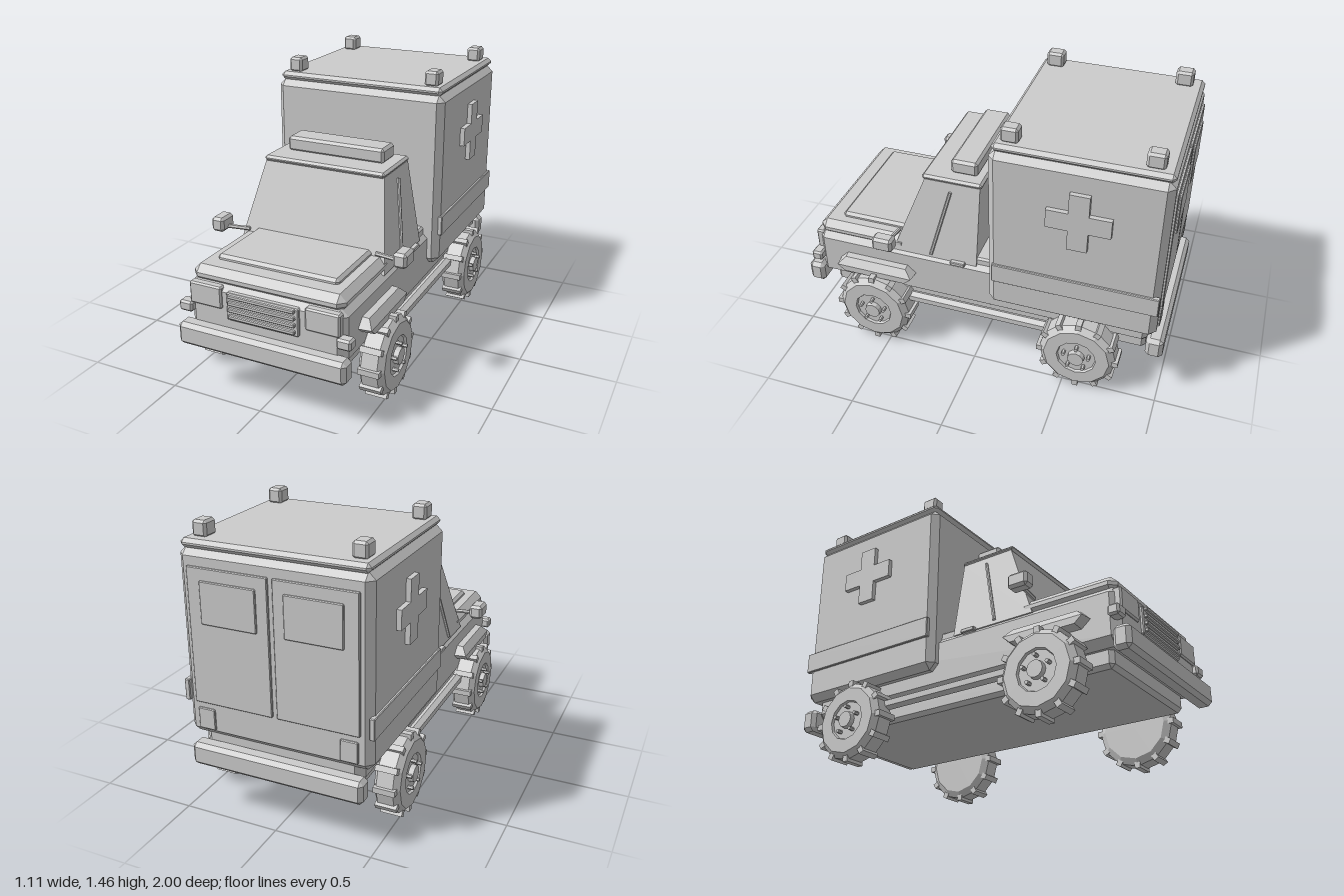
import * as THREE from 'three';
import { ConvexGeometry } from 'three/addons/geometries/ConvexGeometry.js';

export function createModel() {
  const root = new THREE.Group();
  root.name = 'ambulance';
  const grey = new THREE.MeshStandardMaterial({ color: 0xcccccc, flatShading: true });
  grey.name = 'light grey';

  const add = (name, geometry, parent = root) => {
    const mesh = new THREE.Mesh(geometry, grey);
    mesh.name = name;
    parent.add(mesh);
    return mesh;
  };

  // Box given by its limits, with every edge chamfered by c
  const block = (name, [x0, x1], [y0, y1], [z0, z1], c = 0, parent = root) => {
    const w = x1 - x0, h = y1 - y0, d = z1 - z0;
    let geometry;
    if (c === 0) geometry = new THREE.BoxGeometry(w, h, d);
    else {
      const pts = [];
      for (const i of [-1, 1]) for (const j of [-1, 1]) for (const k of [-1, 1]) {
        const x = i * w / 2, y = j * h / 2, z = k * d / 2;
        pts.push(
          new THREE.Vector3(x, y - j * c, z - k * c),
          new THREE.Vector3(x - i * c, y, z - k * c),
          new THREE.Vector3(x - i * c, y - j * c, z));
      }
      geometry = new ConvexGeometry(pts);
    }
    const mesh = add(name, geometry, parent);
    mesh.position.set((x0 + x1) / 2, (y0 + y1) / 2, (z0 + z1) / 2);
    return mesh;
  };
  const mid = (name, half, y, z, c) => block(name, [-half, half], y, z, c);
  const pair = (name, [a, b], y, z, c) => {
    block(name + 'Left', [a, b], y, z, c);
    block(name + 'Right', [-b, -a], y, z, c);
  };
  // Straight round bar between two points
  const bar = (name, a, b, r, sides = 6) => {
    const from = new THREE.Vector3(...a), to = new THREE.Vector3(...b);
    const dir = to.clone().sub(from);
    const mesh = add(name, new THREE.CylinderGeometry(r, r, dir.length(), sides));
    mesh.position.copy(from).add(to).multiplyScalar(0.5);
    mesh.quaternion.setFromUnitVectors(new THREE.Vector3(0, 1, 0), dir.normalize());
  };

  // Chassis and lower body
  mid('chassis', 0.37, [0.22, 0.33], [-0.9, 0.87], 0.02);
  mid('lowerBody', 0.425, [0.305, 0.6], [-0.925, 0.935], 0.04);
  mid('rearDeck', 0.4, [0.57, 0.625], [-0.1, 0.02], 0.01);
  mid('hood', 0.41, [0.57, 0.66], [0.4, 0.92], 0.035);
  mid('hoodPanel', 0.33, [0.64, 0.685], [0.43, 0.81], 0.015);
  mid('frontBumper', 0.455, [0.255, 0.375], [0.91, 1], 0.02);
  mid('rearBumper', 0.455, [0.255, 0.375], [-1, -0.91], 0.02);

  // Tapered cab
  const cab = [];
  for (const s of [-1, 1]) cab.push(
    new THREE.Vector3(s * 0.415, 0.58, 0.48), new THREE.Vector3(s * 0.415, 0.58, 0.01),
    new THREE.Vector3(s * 0.335, 1.02, 0.31), new THREE.Vector3(s * 0.335, 1.02, 0.01));
  add('cab', new ConvexGeometry(cab));
  mid('cabRoof', 0.34, [1.015, 1.045], [0, 0.325], 0.012);
  mid('lightBar', 0.275, [1.04, 1.12], [0.045, 0.19], 0.014);

  // Rear compartment
  mid('compartment', 0.485, [0.41, 1.35], [-0.955, -0.075], 0.035);
  mid('compartmentRoof', 0.47, [1.345, 1.39], [-0.95, -0.09], 0.018);
  pair('sideBand', [0.47, 0.497], [0.58, 0.69], [-0.955, -0.1], 0.004);
  for (const x of [-0.397, 0.397]) for (const z of [-0.85, -0.17])
    block('roofBeacon', [x - 0.038, x + 0.038], [1.385, 1.465], [z - 0.045, z + 0.045], 0.012);

  // Side crosses
  const a = 0.05, b = 0.16;
  const cross = new THREE.Shape([
    [a, b], [-a, b], [-a, a], [-b, a], [-b, -a], [-a, -a],
    [-a, -b], [a, -b], [a, -a], [b, -a], [b, a], [a, a],
  ].map(p => new THREE.Vector2(...p)));
  for (const s of [-1, 1]) {
    const mesh = add('sideCross', new THREE.ExtrudeGeometry(cross, { depth: 0.03, bevelEnabled: false }));
    mesh.rotation.y = s * Math.PI / 2;
    mesh.position.set(s * 0.48, 1.06, -0.535);
  }

  // Rear doors, windows and lamps
  pair('rearDoor', [0.012, 0.43], [0.59, 1.27], [-0.967, -0.94], 0.004);
  pair('rearWindow', [0.07, 0.36], [1.0, 1.21], [-0.977, -0.95], 0.004);
  pair('tailLamp', [0.33, 0.42], [0.45, 0.56], [-0.965, -0.94], 0.004);

  // Front lamps and grille
  pair('headlamp', [0.225, 0.405], [0.47, 0.585], [0.9, 0.947], 0.008);
  pair('turnSignal', [0.39, 0.465], [0.42, 0.475], [0.9, 0.96], 0.01);
  mid('grille', 0.195, [0.425, 0.57], [0.91, 0.95], 0.006);
  for (let i = 0; i < 4; i++) {
    const y = 0.44 + i * 0.036;
    mid('grilleBar', 0.18, [y, y + 0.02], [0.94, 0.965], 0.004);
  }

  // Cab sides: mirrors, fender flares, handles, window bars, side steps
  pair('mirror', [0.477, 0.55], [0.66, 0.738], [0.425, 0.537], 0.014);
  pair('doorHandle', [0.41, 0.438], [0.57, 0.592], [0.07, 0.15], 0.004);
  for (const s of [-1, 1]) {
    bar('mirrorArm', [s * 0.36, 0.68, 0.46], [s * 0.49, 0.68, 0.48], 0.011);
    bar('windowBar', [s * 0.35, 0.975, 0.165], [s * 0.417, 0.6, 0.262], 0.009);
    bar('sideStep', [s * 0.435, 0.29, -0.4], [s * 0.435, 0.29, 0.4], 0.03);
    const flare = [];
    for (const [x, y, z0, z1] of [[0.4, 0.41, 0.4, 0.75], [0.49, 0.415, 0.4, 0.75],
      [0.49, 0.45, 0.36, 0.79], [0.4, 0.45, 0.35, 0.8],
      [0.4, 0.495, 0.4, 0.755], [0.46, 0.49, 0.4, 0.75]])
      flare.push(new THREE.Vector3(s * x, y, z0), new THREE.Vector3(s * x, y, z1));
    add('fenderFlare', new ConvexGeometry(flare));
  }

  // Wheels: axis along local y, outer face at +y
  const tyre = new THREE.LatheGeometry([
    [0, -0.068], [0.17, -0.068], [0.205, -0.045], [0.205, 0.04],
    [0.175, 0.068], [0.105, 0.068], [0.1, 0.055], [0, 0.055],
  ].map(p => new THREE.Vector2(...p)), 12);
  const lug = new THREE.BoxGeometry(0.035, 0.112, 0.03);
  const hub = new THREE.CylinderGeometry(0.042, 0.045, 0.03, 12);
  const bolt = new THREE.CylinderGeometry(0.01, 0.01, 0.03, 6);
  for (const s of [-1, 1]) for (const z of [-0.575, 0.575]) {
    const wheel = new THREE.Group();
    wheel.name = 'wheel';
    add('tyre', tyre, wheel);
    for (let i = 0; i < 12; i++) {
      const t = i * Math.PI / 6;
      const m = add('treadLug', lug, wheel);
      m.position.set(Math.cos(t) * 0.2, 0, Math.sin(t) * 0.2);
      m.rotation.y = -t;
    }
    add('hub', hub, wheel).position.y = 0.066;
    for (let i = 0; i < 5; i++) {
      const t = i * Math.PI * 0.4;
      add('wheelBolt', bolt, wheel).position.set(-s * Math.cos(t) * 0.07, 0.07, Math.sin(t) * 0.07);
    }
    wheel.rotation.z = -s * Math.PI / 2;
    wheel.position.set(s * 0.472, 0.218, z);
    root.add(wheel);
  }
  return root;
}
